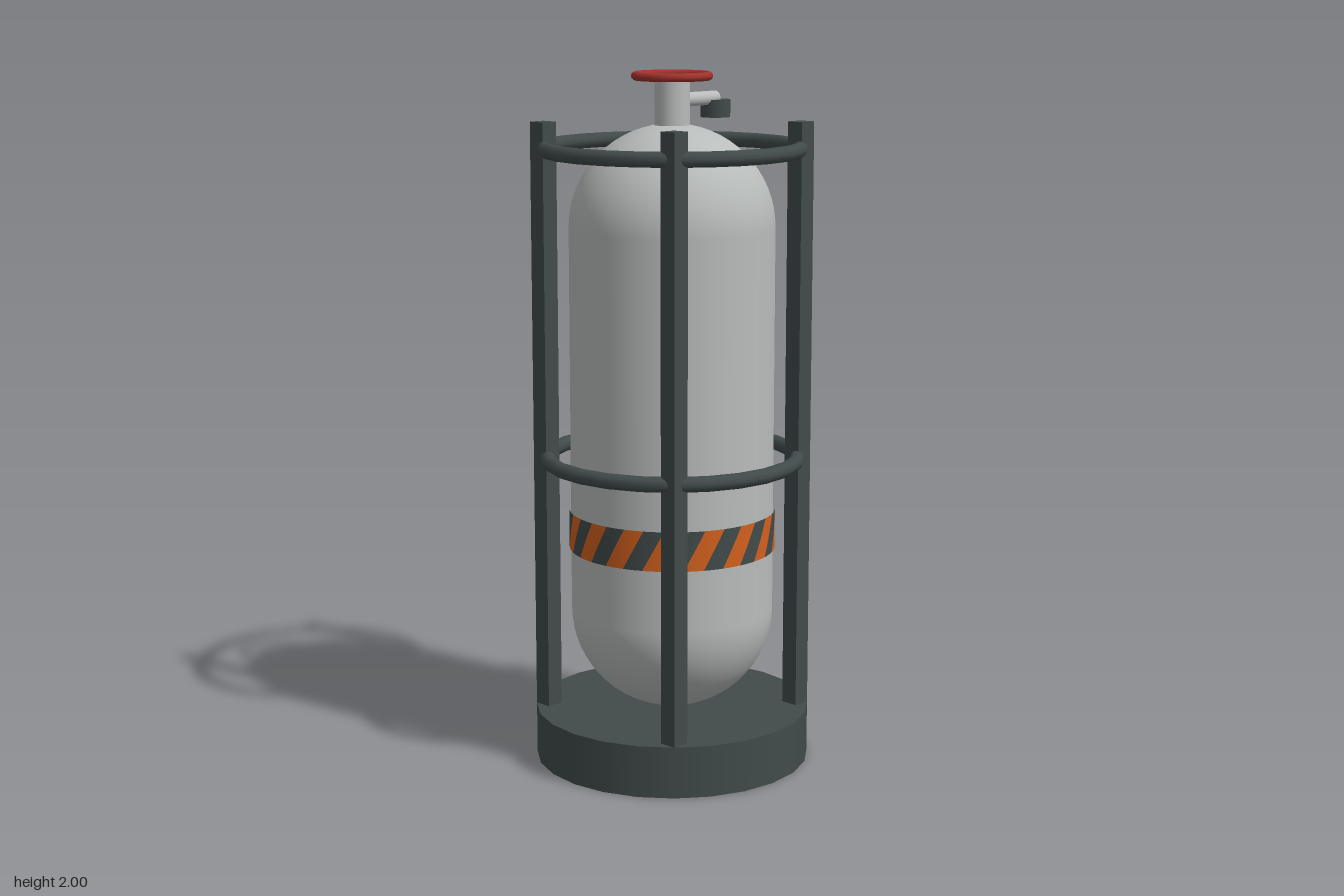
import * as THREE from 'three';

const mat = (name, color) => {
  const m = new THREE.MeshStandardMaterial({ color });
  m.name = name;
  return m;
};

export function createModel() {
  const model = new THREE.Group();
  model.name = 'gasCylinder';
  const grey = mat('paintedSteel', 0xb8bcba);
  const dark = mat('darkFrame', 0x414a4a);
  const black = mat('blackMarking', 0x1e2222);
  const orange = mat('hazardOrange', 0xd2601e);
  const red = mat('valveRed', 0xa0322c);

  const add = (name, geometry, material, x = 0, y = 0, z = 0, parent = model) => {
    const mesh = new THREE.Mesh(geometry, material);
    mesh.name = name;
    mesh.position.set(x, y, z);
    parent.add(mesh);
    return mesh;
  };
  const group = (name) => {
    const g = new THREE.Group();
    g.name = name;
    model.add(g);
    return g;
  };

  // Base and pressure tank
  add('base', new THREE.CylinderGeometry(0.4, 0.4, 0.15, 24), dark, 0, 0.075);
  add('tank', new THREE.CapsuleGeometry(0.294, 1.112, 16, 48), grey, 0, 1.005);

  // Protective cage: four posts and two hoops
  const cage = group('cage');
  for (const x of [-1, 1]) for (const z of [-1, 1]) {
    add('cagePost', new THREE.BoxGeometry(0.052, 1.71, 0.052), dark, x * 0.257, 1.005, z * 0.257, cage);
  }
  for (const y of [0.895, 1.785]) {
    add('cageHoop', new THREE.TorusGeometry(0.363, 0.022, 10, 24).rotateX(Math.PI / 2), dark, 0, y, 0, cage);
  }

  // Hazard band: slanted curved patches in alternating colours
  const band = group('hazardBand');
  const patches = 32, height = 0.114, slant = 0.21;
  for (let i = 0; i < patches; i++) {
    const step = (Math.PI * 2) / patches;
    const geo = new THREE.CylinderGeometry(0.299, 0.299, height, 3, 4, true, i * step, step);
    for (const key of ['position', 'normal']) {
      const a = geo.attributes[key];
      for (let v = 0; v < a.count; v++) {
        // Turn each vertex about the axis in proportion to its height
        const row = Math.floor(v / 4);
        const turn = slant * (0.5 - row / 4);
        const x = a.getX(v), z = a.getZ(v), c = Math.cos(turn), s = Math.sin(turn);
        a.setX(v, x * c + z * s);
        a.setZ(v, z * c - x * s);
      }
    }
    add('hazardStripe', geo, i % 2 ? orange : dark, 0, 0.687, 0, band);
  }

  // Two vertical stripes on the left side
  for (const z of [-0.037, 0.037]) {
    const width = 0.032 / 0.297;
    const start = Math.PI / 2 - z / 0.297 - width / 2;
    add('sideStripe', new THREE.CylinderGeometry(0.297, 0.297, 0.665, 4, 1, true, start, width), black, 0, 1.153);
  }

  // Valve stem, handwheel and outlet
  add('valveStem', new THREE.CylinderGeometry(0.05, 0.05, 0.15, 24), grey, 0, 1.908);
  add('handwheel', new THREE.TorusGeometry(0.103, 0.0125, 10, 40).rotateX(Math.PI / 2), red, 0, 1.9875);
  add('outletPipe', new THREE.CylinderGeometry(0.02, 0.02, 0.16, 16).rotateZ(Math.PI / 2), grey, 0.098, 1.919);
  add('outletCap', new THREE.CylinderGeometry(0.043, 0.043, 0.05, 20), dark, 0.178, 1.889);

  return model;
}
